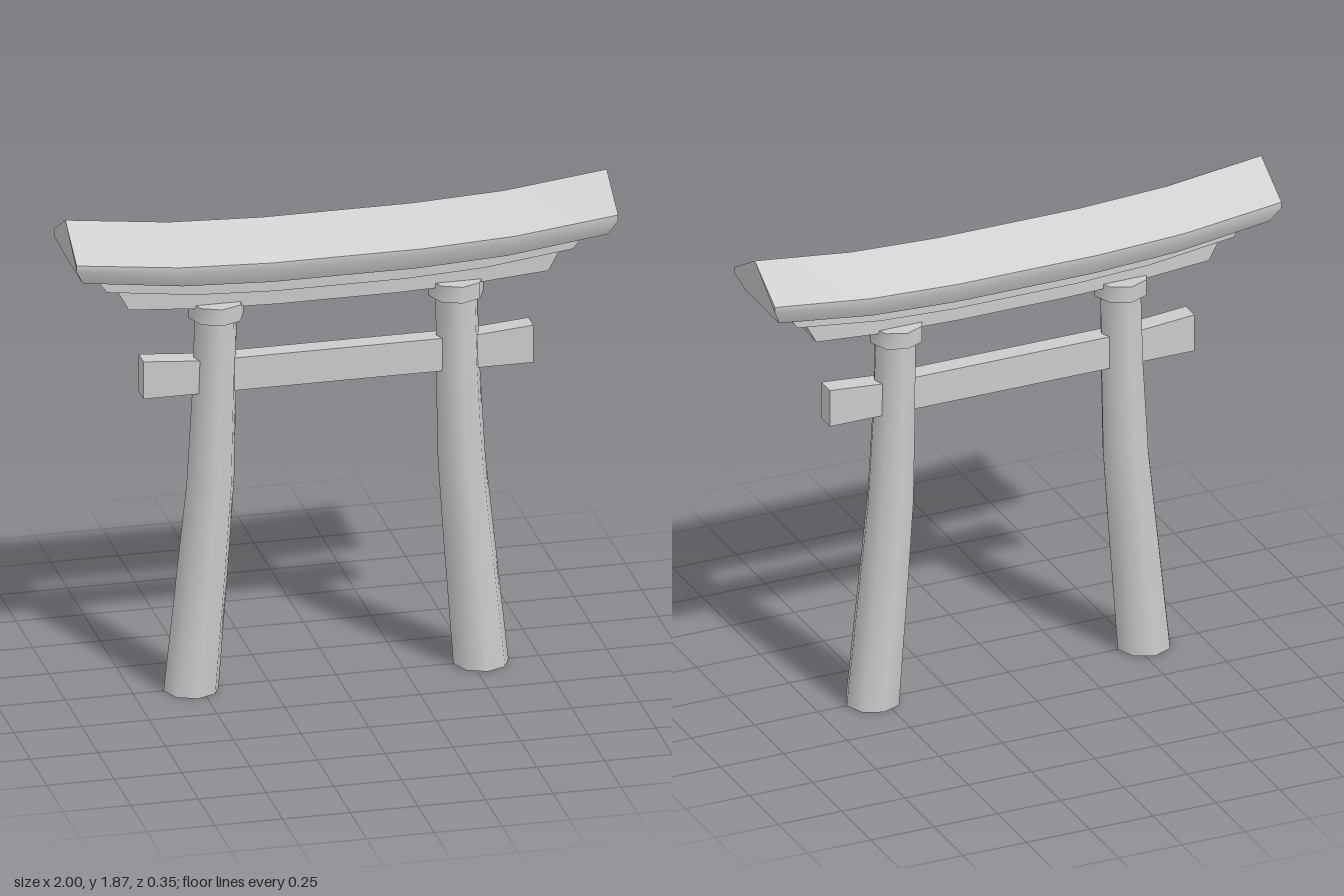
import * as THREE from 'three';
import { toCreasedNormals } from 'three/addons/utils/BufferGeometryUtils.js';

const material = new THREE.MeshStandardMaterial({ color: 0xcccccc });

// Closed solid through a row of equal-length rings (counter-clockwise seen from the far end)
function loft(rings, crease) {
  const n = rings[0].length, last = (rings.length - 1) * n, index = [];
  for (let i = 0; i < last; i += n) {
    for (let j = 0; j < n; j++) {
      const k = (j + 1) % n;
      index.push(i + j, i + k, i + n + k, i + j, i + n + k, i + n + j);
    }
  }
  for (let j = 1; j < n - 1; j++) {
    index.push(0, j + 1, j, last, last + j, last + j + 1);
  }
  const geometry = new THREE.BufferGeometry();
  geometry.setAttribute('position', new THREE.Float32BufferAttribute(rings.flat(2), 3));
  geometry.setIndex(index);
  return toCreasedNormals(geometry, crease);
}

// Beam along x whose ends sweep upward; each corner is [z, y at middle, rise at end, end x]
const sweep = [[-1, 1], [-0.62, 0.25], [-0.28, 0], [0.28, 0], [0.62, 0.25], [1, 1]];
function sweptBeam(corners) {
  return loft(sweep.map(([f, k]) =>
    corners.map(([z, y, rise, endX]) => [f * endX, y + rise * k, z])), 0.6);
}

// Rectangular swept beam from its top and bottom edges [y, rise, end x]
function boxBeam(halfDepth, top, bottom) {
  return sweptBeam([
    [halfDepth, ...top], [halfDepth, ...bottom],
    [-halfDepth, ...bottom], [-halfDepth, ...top],
  ]);
}

// Eight-sided post through [x, y, radius] levels
function post(levels) {
  return loft(levels.map(([x, y, r]) => Array.from({ length: 8 }, (_, j) => {
    const a = j * Math.PI / 4;
    return [x + r * Math.sin(a), y, r * Math.cos(a)];
  })), 0.9);
}

export function createModel() {
  const group = new THREE.Group();
  const add = (name, geometry) => {
    const mesh = new THREE.Mesh(geometry, material);
    mesh.name = name;
    group.add(mesh);
  };

  // Gabled roof beam with undercut eaves and ends
  add('roof', sweptBeam([
    [0, 1.81, 0.06, 1],
    [0.175, 1.703, 0.06, 1], [0.175, 1.68, 0.06, 1], [0.142, 1.615, 0.063, 0.97],
    [-0.142, 1.615, 0.063, 0.97], [-0.175, 1.68, 0.06, 1], [-0.175, 1.703, 0.06, 1],
  ]));

  // Two stepped lintels under the roof
  add('upperLintel', boxBeam(0.065, [1.625, 0.06, 0.925], [1.545, 0.055, 0.86]));
  add('lowerLintel', boxBeam(0.04, [1.555, 0.05, 0.825], [1.483, 0.03, 0.775]));

  // Tie beam passing through both columns, with flared ends
  const tie = [[-0.72, 1.305], [-0.5, 1.287], [0.5, 1.287], [0.72, 1.305]];
  add('tieBeam', loft(tie.map(([x, top]) => [
    [x, top, 0.0375], [x, 1.16, 0.0375], [x, 1.16, -0.0375], [x, top, -0.0375],
  ]), 0.3));

  // Columns bowing inward, each with a collar
  const bow = [[0.535, 0, 0.102], [0.49, 0.5, 0.094], [0.464, 0.8, 0.088],
    [0.45, 1.16, 0.081], [0.445, 1.46, 0.077]];
  for (const [side, s] of [['left', 1], ['right', -1]]) {
    add(side + 'Column', post(bow.map(([x, y, r]) => [s * x, y, r])));
    add(side + 'Collar', post([[s * 0.443, 1.443, 0.101], [s * 0.443, 1.506, 0.101]]));
  }

  return group;
}
